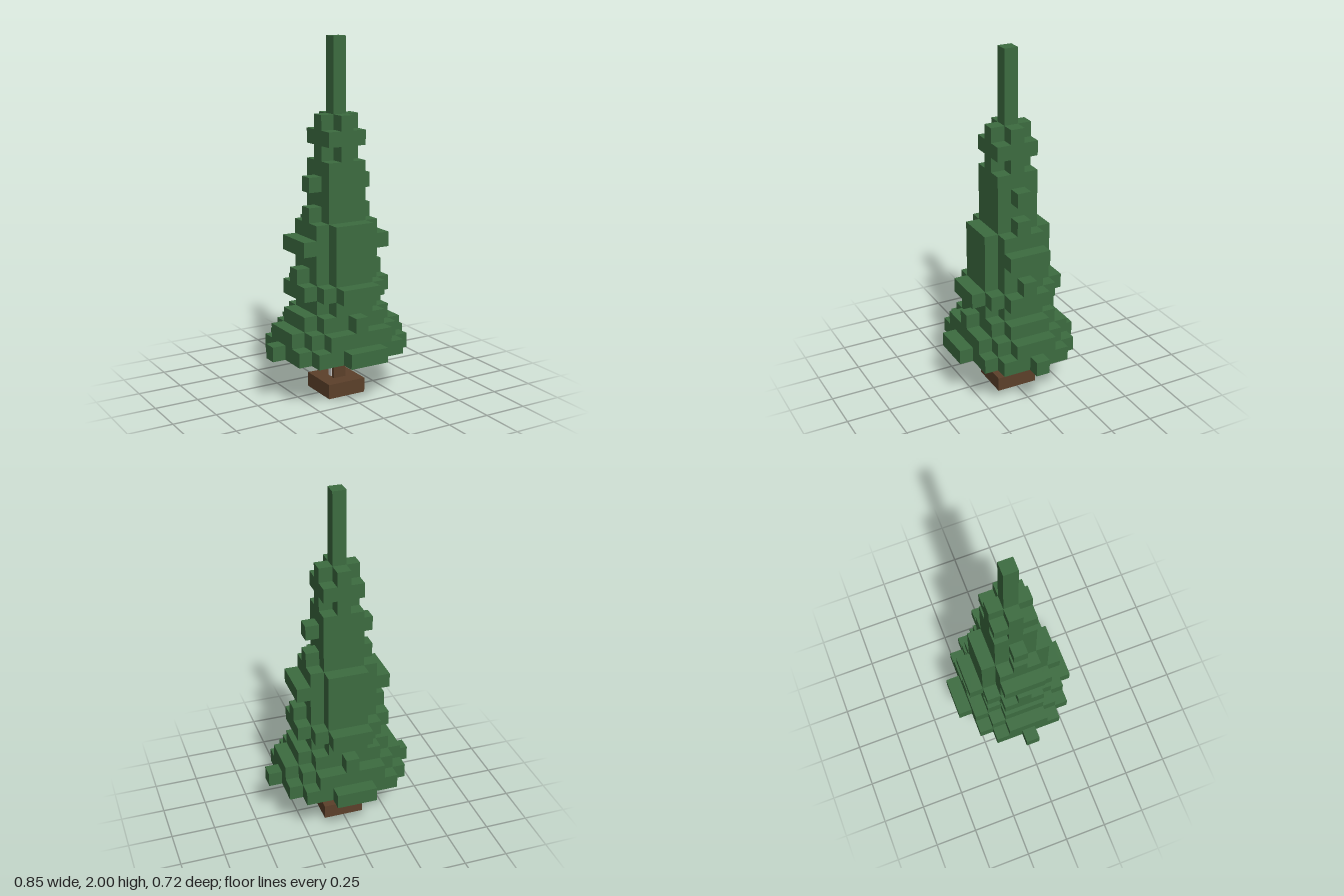
import * as THREE from 'three';

// Grid cell size
const CX = 0.077, CY = 1 / 12, CZ = 0.08;

// Each foliage layer, bottom to top: steps of [cells out in x, cells out in z] from the centre cell
const LAYERS = [
  [[5, 0], [4, 2], [3, 3], [1, 4]],
  [[4, 1], [3, 2], [2, 3]],
  [[3, 1], [2, 2], [0, 3]],
  [[2, 1], [1, 2]],
  [[3, 1], [2, 2], [1, 3]],
  [[3, 0], [2, 1], [1, 2]],
  [[2, 1], [1, 2]],
  [[3, 1], [1, 2]],
  [[2, 1], [1, 2]],
  [[2, 0], [1, 1]],
  [[1, 1]],
  [[2, 0], [1, 1]],
  [[1, 1]],
  [[1, 0], [0, 1]],
  [[1, 1]],
  [[1, 0], [0, 1]],
];

// Stepped outline, mirrored into all four quadrants and extruded one cell high
function layerGeometry(steps) {
  const quarter = [];
  steps.forEach(([a, b], i) => {
    const x = (a + 0.5) * CX;
    if (i > 0) quarter.push([x, (steps[i - 1][1] + 0.5) * CZ]);
    quarter.push([x, (b + 0.5) * CZ]);
  });
  const back = [...quarter].reverse();
  const outline = [
    ...quarter,
    ...back.map(([x, z]) => [-x, z]),
    ...quarter.map(([x, z]) => [-x, -z]),
    ...back.map(([x, z]) => [x, -z]),
  ].map(([x, z]) => new THREE.Vector2(x, z));
  const geometry = new THREE.ExtrudeGeometry(new THREE.Shape(outline), { depth: CY, bevelEnabled: false });
  return geometry.rotateX(-Math.PI / 2);
}

export function createModel() {
  const tree = new THREE.Group();
  tree.name = 'blockyTree';

  const green = new THREE.MeshStandardMaterial({ color: 0x3c6c40 });
  green.name = 'needleGreen';
  const brown = new THREE.MeshStandardMaterial({ color: 0x5c402a });
  brown.name = 'barkBrown';
  const grey = new THREE.MeshStandardMaterial({ color: 0xcfcfcc });
  grey.name = 'paleGrey';

  const add = (name, geometry, material, x, y, z, parent = tree) => {
    const mesh = new THREE.Mesh(geometry, material);
    mesh.name = name;
    mesh.position.set(x, y, z);
    parent.add(mesh);
  };

  // Foot and trunk
  add('foot', new THREE.BoxGeometry(3 * CX, CY, 3 * CZ), brown, 0, CY / 2, 0);
  add('trunkBark', new THREE.BoxGeometry(CX, 2 * CY, 0.02), brown, 0, 2 * CY, 0.03);
  const core = new THREE.CylinderGeometry(0.045, 0.045, 2 * CY, 10, 1, true).toNonIndexed();
  core.computeVertexNormals();
  add('trunkCore', core, grey, 0.008, 2 * CY, -0.013);

  // Foliage
  const foliage = new THREE.Group();
  foliage.name = 'foliage';
  tree.add(foliage);
  LAYERS.forEach((steps, i) => {
    add(`foliageLayer${i + 1}`, layerGeometry(steps), green, 0, (3 + i) * CY, 0, foliage);
  });

  // Spire at the tip
  add('spire', new THREE.BoxGeometry(CX, 5 * CY, CZ), green, 0, 21.5 * CY, 0);

  return tree;
}
